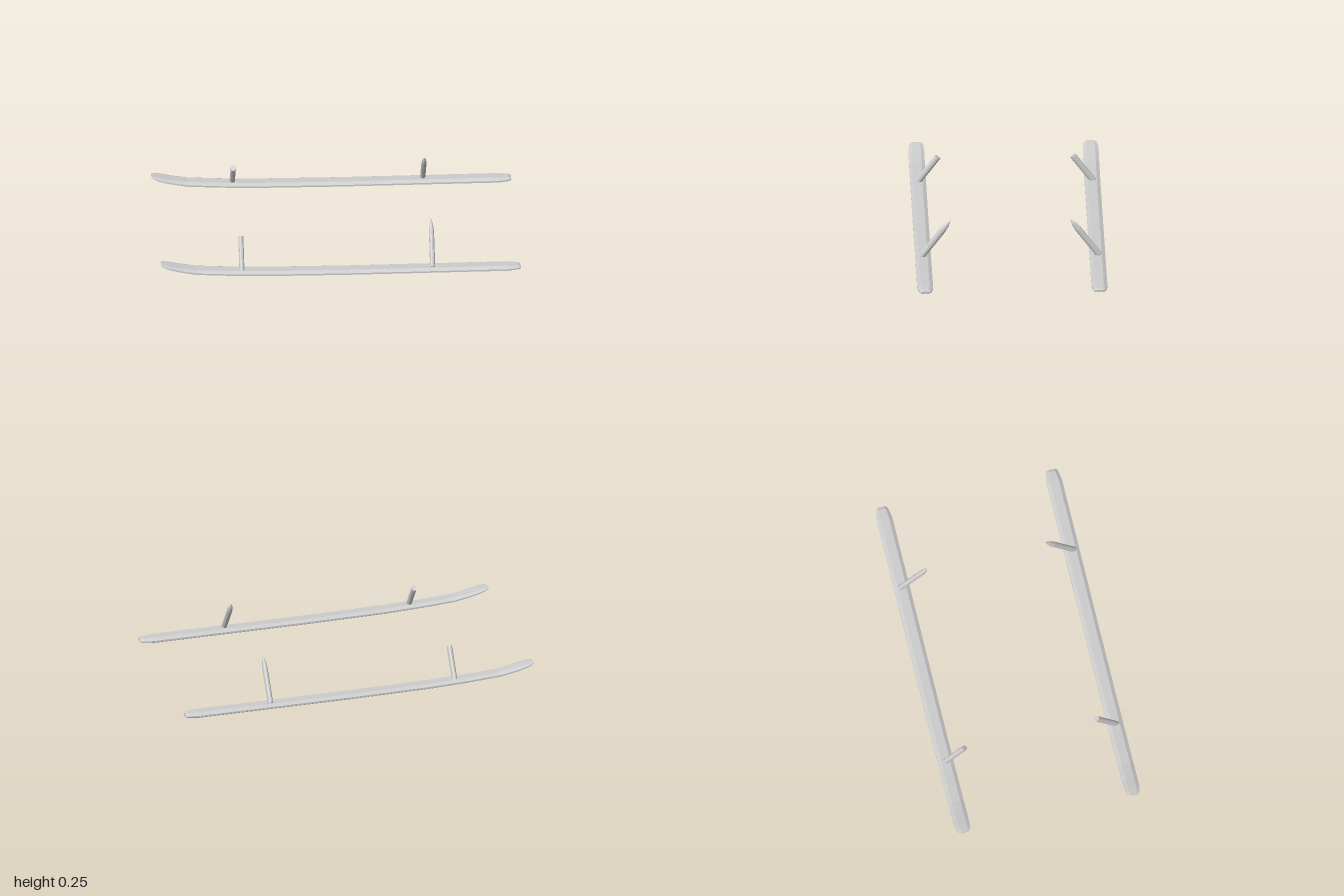
import * as THREE from 'three';

const material = new THREE.MeshStandardMaterial({ color: 0xcccccc, flatShading: true });

// Runner stations: x, bottom y, top y, half width
const STATIONS = [
  [-1.0, 0.094, 0.1, 0.024],
  [-0.985, 0.084, 0.098, 0.036],
  [-0.95, 0.07, 0.092, 0.043],
  [-0.9, 0.055, 0.081, 0.044],
  [-0.8, 0.034, 0.064, 0.044],
  [-0.6, 0.021, 0.052, 0.044],
  [-0.4, 0.013, 0.045, 0.044],
  [0.04, 0.007, 0.039, 0.044],
  [0.93, 0.004, 0.037, 0.044],
  [0.985, 0.008, 0.034, 0.034],
  [1.0, 0.014, 0.028, 0.026],
];

// Octagonal section corners as (width, height) fractions
const SECTION = [
  [1, 0.35], [1, 0.65], [0.55, 1], [-0.55, 1],
  [-1, 0.65], [-1, 0.35], [-0.55, 0], [0.55, 0],
];

function runnerGeometry() {
  const n = SECTION.length;
  const pos = [];
  const index = [];
  for (const [x, y0, y1, w] of STATIONS) {
    for (const [u, v] of SECTION) pos.push(x, y0 + (y1 - y0) * v, w * u);
  }
  for (let s = 0; s < STATIONS.length - 1; s++) {
    for (let i = 0; i < n; i++) {
      const a = s * n + i;
      const b = s * n + ((i + 1) % n);
      index.push(a, a + n, b, b, a + n, b + n);
    }
  }
  // End caps
  const last = (STATIONS.length - 1) * n;
  for (let i = 1; i < n - 1; i++) {
    index.push(0, i, i + 1);
    index.push(last, last + i + 1, last + i);
  }
  const geometry = new THREE.BufferGeometry();
  geometry.setAttribute('position', new THREE.Float32BufferAttribute(pos, 3));
  geometry.setIndex(index);
  geometry.computeVertexNormals();
  return geometry;
}

// Strut leaning from the runner towards the middle (-z); profile is [radius, height]
function strut(name, x, profile) {
  const geometry = new THREE.LatheGeometry(profile.map(([r, h]) => new THREE.Vector2(r, h)), 10);
  geometry.scale(0.92, 1, 1.15);
  const mesh = new THREE.Mesh(geometry, material);
  mesh.name = name;
  mesh.position.set(x, 0.035, 0.012);
  mesh.rotation.x = -Math.atan2(0.162, 0.215);
  return mesh;
}

function skid(name) {
  const group = new THREE.Group();
  group.name = name;
  const runner = new THREE.Mesh(runnerGeometry(), material);
  runner.name = 'runner';
  group.add(runner);
  group.add(strut('bluntStrut', -0.55, [[0, 0], [0.016, 0], [0.016, 0.2], [0, 0.2]]));
  group.add(strut('pointedStrut', 0.51, [[0, 0], [0.016, 0], [0.016, 0.2], [0.011, 0.238], [0, 0.27]]));
  return group;
}

export function createModel() {
  const model = new THREE.Group();
  model.name = 'landingSkids';
  const front = skid('frontSkid');
  front.position.z = 0.484;
  // The back skid is the front one mirrored across z = 0
  const back = skid('backSkid');
  back.scale.z = -1;
  back.position.z = -0.484;
  model.add(front, back);
  return model;
}
